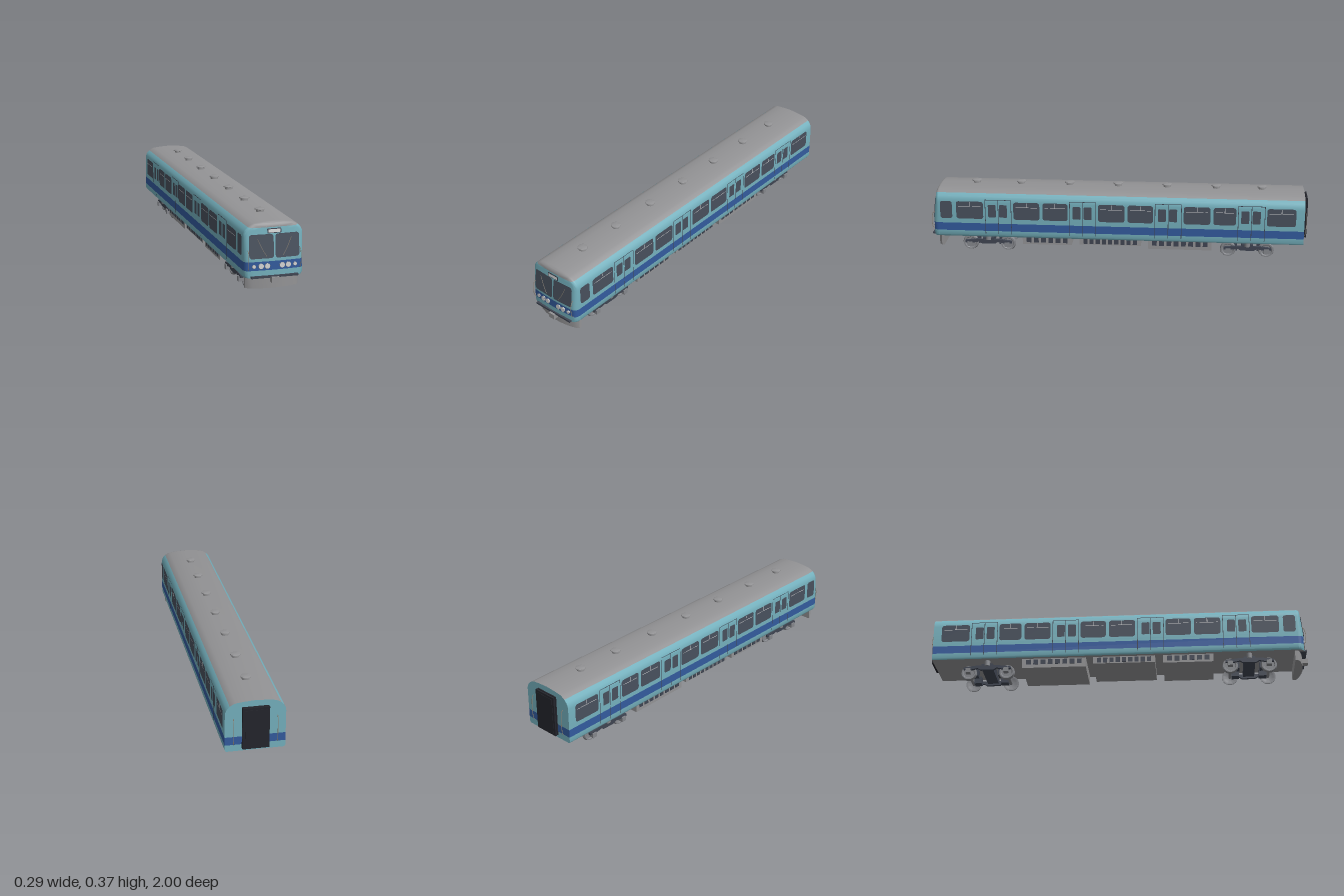
import * as THREE from 'three';
import { toCreasedNormals } from 'three/addons/utils/BufferGeometryUtils.js';

const mat = (name, color, side = THREE.FrontSide) => {
  const m = new THREE.MeshStandardMaterial({ color, side });
  m.name = name;
  return m;
};

export function createModel() {
  const teal = mat('teal paint', 0x74b0bd), blue = mat('blue stripe', 0x335b9e);
  const grey = mat('roof grey', 0x939395), glass = mat('dark glass', 0x48505d, THREE.DoubleSide);
  const black = mat('gangway black', 0x24252c), frame = mat('bogie dark', 0x3f4552);
  const steel = mat('wheel steel', 0x85878c), white = mat('lamp white', 0xd6d6d6, THREE.DoubleSide);
  const rail = mat('handrail', 0x8f8678);

  const model = new THREE.Group();
  model.name = 'railcar';
  const add = (name, geo, m, x = 0, y = 0, z = 0, parent = model) => {
    const mesh = new THREE.Mesh(geo, m);
    mesh.name = name;
    mesh.position.set(x, y, z);
    parent.add(mesh);
    return mesh;
  };
  // Box from its limits on each axis
  const box = (name, m, x0, x1, y0, y1, z0, z1, parent) =>
    add(name, new THREE.BoxGeometry(x1 - x0, y1 - y0, z1 - z0), m,
      (x0 + x1) / 2, (y0 + y1) / 2, (z0 + z1) / 2, parent);
  const roundRect = (x0, x1, y0, y1, r) => {
    const s = new THREE.Shape();
    s.absarc(x1 - r, y1 - r, r, 0, Math.PI / 2);
    s.absarc(x0 + r, y1 - r, r, Math.PI / 2, Math.PI);
    s.absarc(x0 + r, y0 + r, r, Math.PI, Math.PI * 1.5);
    s.absarc(x1 - r, y0 + r, r, Math.PI * 1.5, Math.PI * 2);
    return s;
  };
  const tube = (name, pts, r, m) => add(name, new THREE.TubeGeometry(
    new THREE.CatmullRomCurve3(pts.map(p => new THREE.Vector3(...p))), 12, r, 6), m);

  // Body shell: half cross-section swept along z, rounded into a slanted, bowed cab front
  const profile = [[0.139, 0.097], [0.145, 0.106], [0.145, 0.131], [0.145, 0.173], [0.145, 0.19],
    [0.145, 0.288], [0.143, 0.305], [0.136, 0.32], [0.122, 0.334], [0.108, 0.343], [0.093, 0.349],
    [0.05, 0.354], [0, 0.357]];
  const strip = i => (i === 2 ? 1 : i >= 8 ? 2 : 0);
  const frontZ = (x, y) => 0.98 - 0.107 * Math.max(0, y - 0.19) - 0.008 * (x / 0.145) ** 2;
  const rings = [null, 0, 0.25, 0.5, 0.75, 1];
  const point = (i, j) => {
    const [px, py] = profile[i];
    if (rings[j] === null) return [px, py, -0.98];
    const a = rings[j] * Math.PI / 2, inset = 1 - Math.cos(a);
    const x = px * (1 - 0.138 * inset);
    const y = py > 0.33 ? 0.33 + (py - 0.33) * (1 - 0.85 * inset) : py;
    return [x, y, 0.945 + (frontZ(x, y) - 0.945) * Math.sin(a)];
  };
  const soup = [[], [], []];
  const quad = (k, a, b, c, d) => soup[k].push(...a, ...b, ...c, ...a, ...c, ...d);
  const flip = ([x, y, z]) => [-x, y, z];
  const last = rings.length - 1, cols = 10;
  for (let i = 0; i < profile.length - 1; i++) {
    for (let j = 0; j < last; j++) {
      const a = point(i, j), b = point(i, j + 1), c = point(i + 1, j + 1), d = point(i + 1, j);
      quad(strip(i), a, d, c, b);
      quad(strip(i), ...[a, b, c, d].map(flip));
    }
    const lo = point(i, last), hi = point(i + 1, last);
    for (let n = 0; n < cols; n++) {
      const at = (p, k) => {
        const x = p[0] * (2 * k / cols - 1);
        return [x, p[1], frontZ(x, p[1])];
      };
      quad(strip(i), at(lo, n), at(lo, n + 1), at(hi, n + 1), at(hi, n));
    }
    const r0 = point(i, 0), r1 = point(i + 1, 0);
    quad(strip(i) === 1 ? 1 : 0, r0, flip(r0), flip(r1), r1);
  }
  for (let j = 0; j < last; j++) {
    const a = point(0, j), b = point(0, j + 1);
    quad(2, flip(a), a, b, flip(b));
  }
  const shell = new THREE.BufferGeometry();
  shell.setAttribute('position', new THREE.Float32BufferAttribute(soup.flat(), 3));
  let start = 0;
  soup.forEach((s, k) => { shell.addGroup(start, s.length / 3, k); start += s.length / 3; });
  add('body shell', toCreasedNormals(shell, 0.6), [teal, blue, grey]);

  // Side windows and doors, the same on both sides
  const windows = [[0.936, 0.872], [0.85, 0.706], [0.545, 0.406], [0.39, 0.257], [0.096, -0.043],
    [-0.059, -0.193], [-0.353, -0.492], [-0.508, -0.626], [-0.786, -0.936]];
  const doors = [0.626, 0.177, -0.272, -0.706];
  for (const s of [1, -1]) {
    const side = new THREE.Group();
    side.name = s > 0 ? 'left side' : 'right side';
    side.rotation.y = s * Math.PI / 2;
    model.add(side);
    const plate = (name, m, zA, zB, y0, y1, r, off) => {
      const [x0, x1] = [-zA * s, -zB * s].sort((p, q) => p - q);
      add(name, r ? new THREE.ShapeGeometry(roundRect(x0, x1, y0, y1, r), 5)
        : new THREE.PlaneGeometry(x1 - x0, y1 - y0), m,
        r ? 0 : (x0 + x1) / 2, r ? 0 : (y0 + y1) / 2, 0.145 + off, side);
    };
    for (const [a, b] of windows) {
      plate('side window', glass, a, b, 0.198, 0.294, 0.014, 0.0015);
      if (a - b < 0.1) continue;
      const mid = (a + b) / 2;
      plate('window bar', white, a - 0.012, b + 0.012, 0.2655, 0.268, 0, 0.0025);
      plate('window mullion', white, mid + 0.0015, mid - 0.0015, 0.268, 0.292, 0, 0.0025);
    }
    for (const d of doors) {
      for (const e of [0.069, 0, -0.069])
        plate('door seam', frame, d + e + 0.0015, d + e - 0.0015, 0.115, 0.305, 0, 0.001);
      plate('door top seam', frame, d + 0.0695, d - 0.0695, 0.303, 0.306, 0, 0.001);
      for (const e of [0.033, -0.026])
        plate('door window', glass, d + e + 0.021, d + e - 0.021, 0.208, 0.278, 0.006, 0.0015);
    }
  }

  // Cab front: plates follow the front surface
  const facePlate = (name, m, shape, off) => {
    const g = new THREE.ShapeGeometry(shape, 6), p = g.attributes.position;
    for (let i = 0; i < p.count; i++) p.setZ(i, frontZ(p.getX(i), p.getY(i)) + off);
    g.computeVertexNormals();
    add(name, g, m);
  };
  facePlate('windscreen left', glass, roundRect(0.004, 0.122, 0.188, 0.3, 0.014), 0.003);
  facePlate('windscreen right', glass, roundRect(-0.122, -0.004, 0.188, 0.3, 0.014), 0.003);
  facePlate('destination frame', frame, roundRect(-0.034, 0.034, 0.303, 0.326, 0.004), 0.003);
  facePlate('destination panel', white, roundRect(-0.029, 0.029, 0.307, 0.322, 0.002), 0.005);
  for (const s of [1, -1]) {
    for (const [x, r] of [[0.036, 0.012], [0.066, 0.012], [0.1, 0.008]]) {
      const z = frontZ(x, 0.152);
      add('headlamp', new THREE.CylinderGeometry(r, r, 0.008, 24), white, s * x, 0.152, z + 0.003)
        .rotation.x = Math.PI / 2;
      add('lamp ring', new THREE.TorusGeometry(r, 0.0015, 6, 24), steel, s * x, 0.152, z + 0.005);
    }
    tube('wiper', [[0.04, 0.198], [0.06, 0.232], [0.082, 0.28]].map(([x, y]) =>
      [s * x, y, frontZ(x, y) + 0.005]), 0.0012, rail);
    tube('front handrail', [[s * 0.126, 0.13, 0.966], [s * 0.127, 0.14, 0.982],
      [s * 0.127, 0.22, 0.98], [s * 0.126, 0.23, 0.962]], 0.0016, rail);
    tube('rear handrail', [[s * 0.105, 0.13, -0.98], [s * 0.105, 0.14, -0.988],
      [s * 0.105, 0.26, -0.988], [s * 0.105, 0.27, -0.98]], 0.0016, rail);
  }

  // Bowed front skirt and coupler
  const skirt = new THREE.Shape();
  skirt.moveTo(-0.13, -0.925);
  skirt.lineTo(0.13, -0.925);
  skirt.lineTo(0.13, -0.938);
  skirt.lineTo(0.117, -0.95);
  skirt.quadraticCurveTo(0, -0.99, -0.117, -0.95);
  skirt.lineTo(-0.13, -0.938);
  const skirtGeo = new THREE.ExtrudeGeometry(skirt, { depth: 0.057, bevelEnabled: false, curveSegments: 12 });
  skirtGeo.rotateX(-Math.PI / 2);
  add('front skirt', toCreasedNormals(skirtGeo, 0.5), grey, 0, 0.041, 0);
  box('step strip', frame, -0.114, 0.114, 0.096, 0.106, 0.95, 0.988);
  box('coupler', grey, -0.018, 0.018, 0.073, 0.1, 0.94, 1.0);

  // Rear gangway bellows
  for (let k = 0; k < 3; k++) {
    const w = k === 1 ? 0.06 : 0.064;
    box('gangway rib', black, -w, w, 0.112, k === 1 ? 0.322 : 0.326, -0.986 - k * 0.006, -0.978 - k * 0.006);
  }
  box('gangway door', black, -0.052, 0.052, 0.122, 0.314, -1.0, -0.99);

  // Roof vents
  const vent = new THREE.LatheGeometry([[0.019, 0], [0.019, 0.013], [0.0255, 0.015], [0.025, 0.019],
    [0.02, 0.021], [0, 0.021]].map(p => new THREE.Vector2(...p)), 24);
  for (const z of [0.76, 0.52, 0.26, 0, -0.26, -0.52, -0.76])
    add('roof vent', toCreasedNormals(vent.clone(), 0.5), grey, 0, 0.352, z);

  // Underfloor equipment boxes with dark louvres
  for (const [z0, z1, y0, count] of [[0.24, 0.503, 0.053, 6], [-0.128, 0.198, 0.059, 9], [-0.503, -0.166, 0.045, 8]]) {
    box('equipment box', grey, -0.12, 0.12, y0, 0.1, z0, z1);
    const step = (z1 - z0 - 0.03) / count;
    for (let k = 0; k < count; k++) {
      const z = z0 + 0.015 + step * (k + 0.5);
      for (const s of [1, -1])
        box('louvre', frame, s * 0.12 - 0.002, s * 0.12 + 0.002, 0.064, 0.091, z - step * 0.33, z + step * 0.33);
    }
  }

  // Bogies
  const wheelGeo = toCreasedNormals(new THREE.LatheGeometry([[0, -0.006], [0.026, -0.006], [0.03, -0.008],
    [0.042, -0.008], [0.042, -0.004], [0.038, 0.007], [0.031, 0.007], [0.027, 0.003], [0, 0.003]]
    .map(p => new THREE.Vector2(...p)), 28), 0.5).rotateZ(-Math.PI / 2);
  const beam = new THREE.Shape([[-0.125, 0.05], [-0.08, 0.05], [-0.05, 0.056], [-0.035, 0.046], [0.035, 0.046],
    [0.05, 0.056], [0.08, 0.05], [0.125, 0.05], [0.125, 0.062], [0.06, 0.07], [-0.06, 0.07],
    [-0.125, 0.062]].map(p => new THREE.Vector2(...p)));
  const beamGeo = new THREE.ExtrudeGeometry(beam, { depth: 0.014, bevelEnabled: false })
    .rotateY(Math.PI / 2).translate(-0.007, 0, 0);
  for (const zc of [0.69, -0.69]) {
    const bogie = new THREE.Group();
    bogie.name = 'bogie';
    bogie.position.z = zc;
    model.add(bogie);
    box('bolster', frame, -0.11, 0.11, 0.055, 0.08, -0.03, 0.03, bogie);
    box('pivot', frame, -0.04, 0.04, 0.075, 0.1, -0.03, 0.03, bogie);
    for (const s of [1, -1]) {
      add('side frame', beamGeo, frame, s * 0.105, 0, 0, bogie);
      add('bolster spring', new THREE.CylinderGeometry(0.015, 0.015, 0.03, 16), steel, s * 0.105, 0.083, 0, bogie);
      for (const e of [0.101, -0.101]) {
        const wheel = add('wheel', wheelGeo, steel, s * 0.08, 0.042, e, bogie);
        wheel.rotation.y = s > 0 ? 0 : Math.PI;
        box('axle box', steel, s * 0.104 - 0.014, s * 0.104 + 0.014, 0.031, 0.056, e - 0.013, e + 0.013, bogie);
        box('traction motor', frame, s * 0.051 - 0.021, s * 0.051 + 0.021, 0.031, 0.07,
          e * 0.72 - 0.02, e * 0.72 + 0.02, bogie);
      }
    }
    for (const e of [0.101, -0.101])
      add('axle', new THREE.CylinderGeometry(0.008, 0.008, 0.17, 14), steel, 0, 0.042, e, bogie)
        .rotation.z = Math.PI / 2;
  }
  return model;
}
